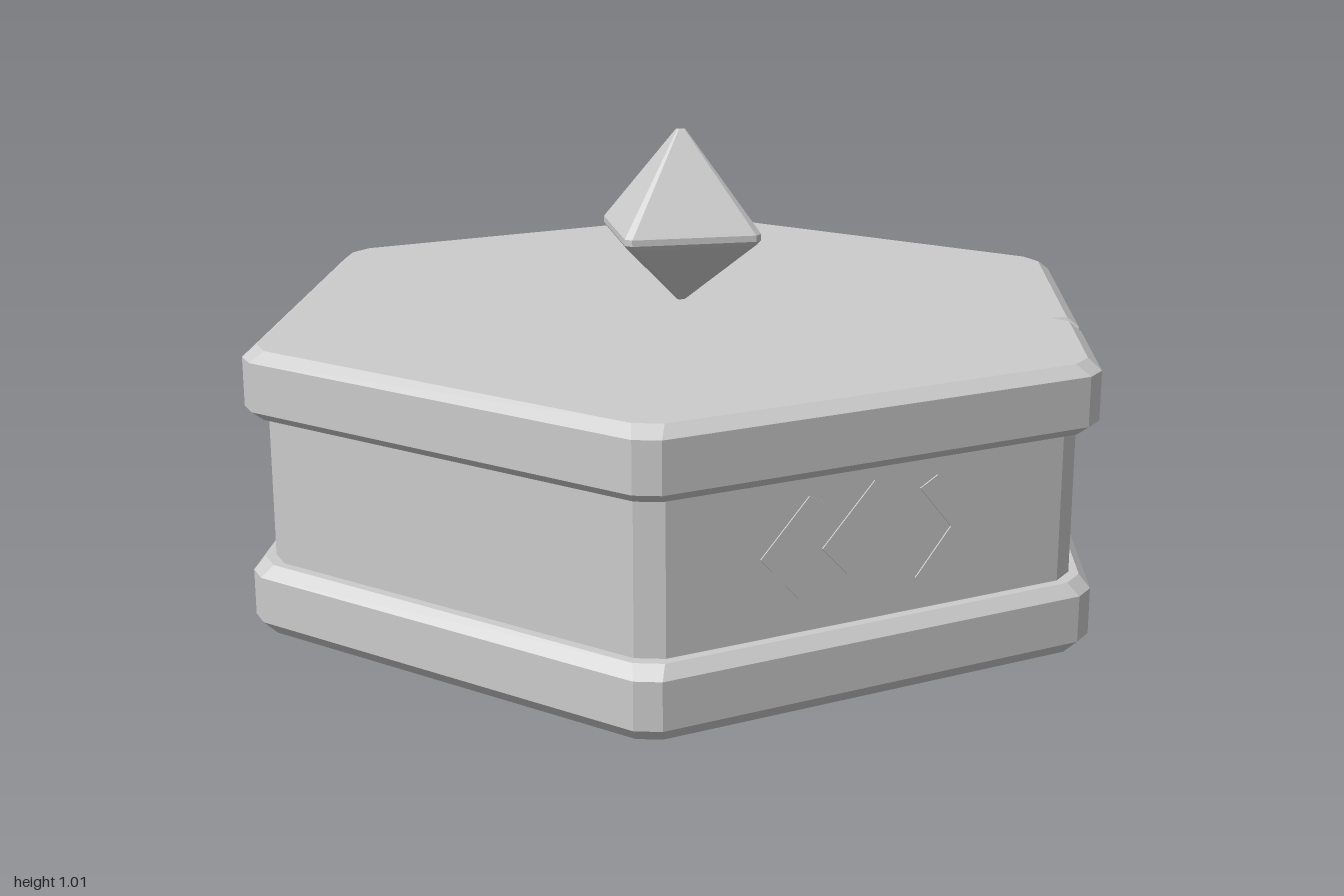
import * as THREE from 'three';

const stone = new THREE.MeshStandardMaterial({ color: 0xcccccc });
stone.name = 'pale stone';
stone.flatShading = true;

// Regular polygon with cut corners; an optional chip is pulled into one edge
function outline(sides, radius, cut, y, chip) {
  const edge = 2 * radius * Math.sin(Math.PI / sides);
  const corner = (k) => {
    const a = (2 * Math.PI * k) / sides;
    return new THREE.Vector3(radius * Math.cos(a), y, radius * Math.sin(a));
  };
  const pts = [];
  for (let k = 0; k < sides; k++) {
    const c = corner(k);
    pts.push(c.clone().lerp(corner(k - 1), cut / edge), c.clone().lerp(corner(k + 1), cut / edge));
    if (chip !== undefined && k === sides - 1) {
      [[0.615, 0], [0.635, chip], [0.655, 0]].forEach(([t, depth]) => {
        const p = c.clone().lerp(corner(0), t);
        p.x *= 1 - depth;
        p.z *= 1 - depth;
        pts.push(p);
      });
    }
  }
  return pts;
}

// Joins rings of [radius, corner cut, height, chip depth]; caps close the ends
function loft(name, sides, rings, capStart, capEnd) {
  const loops = rings.map(([r, c, y, chip]) => outline(sides, r, c, y, chip));
  const pos = [];
  const tri = (...v) => v.forEach((p) => pos.push(p.x, p.y, p.z));
  const n = loops[0].length;
  for (let j = 0; j < n; j++) {
    const k = (j + 1) % n;
    for (let i = 0; i + 1 < loops.length; i++) {
      const lo = loops[i], hi = loops[i + 1];
      tri(lo[j], hi[j], lo[k]);
      tri(hi[j], hi[k], lo[k]);
    }
    const first = loops[0], last = loops[loops.length - 1];
    if (capStart) tri(new THREE.Vector3(0, first[0].y, 0), first[j], first[k]);
    if (capEnd) tri(new THREE.Vector3(0, last[0].y, 0), last[k], last[j]);
  }
  const geo = new THREE.BufferGeometry();
  geo.setAttribute('position', new THREE.Float32BufferAttribute(pos, 3));
  geo.computeVertexNormals();
  const mesh = new THREE.Mesh(geo, stone);
  mesh.name = name;
  return mesh;
}

// Thin diamond flanked by two chevrons
function createOrnament() {
  const group = new THREE.Group();
  group.name = 'faceOrnament';
  const plate = (name, pts) => {
    const shape = new THREE.Shape(pts.map(([x, y]) => new THREE.Vector2(x, y)));
    const geo = new THREE.ExtrudeGeometry(shape, { depth: 0.006, bevelEnabled: false });
    const mesh = new THREE.Mesh(geo, stone);
    mesh.name = name;
    group.add(mesh);
  };
  plate('diamond', [[0.115, 0], [0, 0.122], [-0.115, 0], [0, -0.122]]);
  [1, -1].forEach((s) => plate('chevron', [
    [0.25, 0], [0.145, 0.112], [0.105, 0.09], [0.18, 0], [0.1, -0.095], [0.14, -0.122],
  ].map(([x, y]) => [s * x, y])));
  return group;
}

export function createModel() {
  const model = new THREE.Group();
  model.name = 'hexagonalPedestal';

  // Base slab with the hollow underneath
  model.add(loft('base', 6, [
    [0.71, 0.001, 0.35], [0.71, 0.001, 0], [0.985, 0.03, 0], [1.016, 0.032, 0.03],
    [1.016, 0.032, 0.13], [0.99, 0.035, 0.155], [0.9, 0.04, 0.155],
  ], true, false));

  // Recessed middle wall
  model.add(loft('wall', 6, [[0.967, 0.035, 0.14], [0.967, 0.035, 0.49]], false, false));

  // Top slab with a small chip in its rim
  model.add(loft('topSlab', 6, [
    [0.9, 0.04, 0.473, 0], [0.99, 0.03, 0.473, 0], [1.016, 0.032, 0.493, 0],
    [1.016, 0.032, 0.55, 0], [1.016, 0.032, 0.598, 0.04], [0.985, 0.035, 0.62, 0.045],
  ], false, true));

  // Ornaments on every side except the front
  const apothem = 0.967 * Math.cos(Math.PI / 6);
  for (let i = 1; i < 6; i++) {
    const a = (i * Math.PI) / 3;
    const ornament = createOrnament();
    ornament.position.set(Math.sin(a) * (apothem - 0.003), 0.318, Math.cos(a) * (apothem - 0.003));
    ornament.rotation.y = a;
    model.add(ornament);
  }

  // Floating crystal with softened edges
  model.add(loft('crystal', 4, [
    [0.012, 0.003, 0.622], [0.205, 0.014, 0.768], [0.215, 0.014, 0.778],
    [0.215, 0.014, 0.792], [0.205, 0.014, 0.803], [0.014, 0.003, 1.008],
  ], true, true));

  return model;
}
